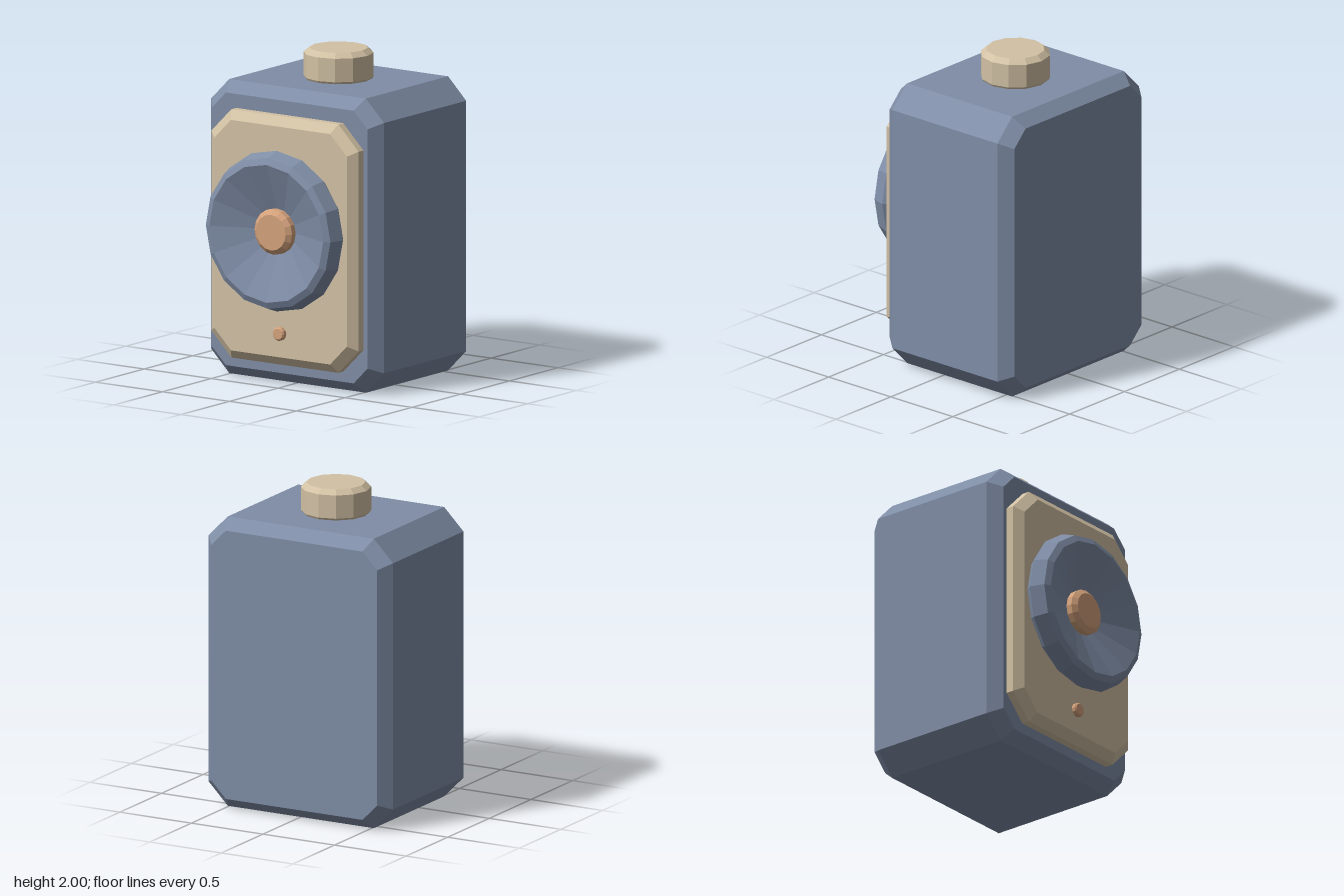
import * as THREE from 'three';

const slate = new THREE.MeshStandardMaterial({ color: 0x7f8da6 });
slate.name = 'slateBlue';
const cream = new THREE.MeshStandardMaterial({ color: 0xd2c1a4 });
cream.name = 'cream';
const copper = new THREE.MeshStandardMaterial({ color: 0xd4a27c });
copper.name = 'copper';

// Faceted normals baked into the geometry
function facet(geometry) {
  const flat = geometry.index ? geometry.toNonIndexed() : geometry;
  flat.computeVertexNormals();
  return flat;
}

function part(name, geometry, material, x = 0, y = 0, z = 0) {
  const mesh = new THREE.Mesh(facet(geometry), material);
  mesh.name = name;
  mesh.position.set(x, y, z);
  return mesh;
}

// Block with cut corners, lofted back to front; section = [halfWidth, halfHeight, cut, z]
function cutBlock(sections) {
  const pos = [], idx = [];
  for (const [w, h, c, z] of sections) {
    const ring = [[w, c - h], [w, h - c], [w - c, h], [c - w, h],
      [-w, h - c], [-w, c - h], [c - w, -h], [w - c, -h]];
    for (const [x, y] of ring) pos.push(x, y, z);
  }
  const last = (sections.length - 1) * 8;
  for (let s = 0; s < last; s += 8) {
    for (let i = 0; i < 8; i++) {
      const a = s + i, b = s + (i + 1) % 8;
      idx.push(a, b, b + 8, a, b + 8, a + 8);
    }
  }
  for (let i = 1; i < 7; i++) {
    idx.push(0, i + 1, i, last, last + i, last + i + 1);
  }
  const g = new THREE.BufferGeometry();
  g.setAttribute('position', new THREE.Float32BufferAttribute(pos, 3));
  g.setIndex(idx);
  return g;
}

// Turned shape; profile = [radius, height] pairs
function turned(profile, sides) {
  return new THREE.LatheGeometry(profile.map(([r, h]) => new THREE.Vector2(r, h)), sides);
}
const turnedForward = (profile, sides) => turned(profile, sides).rotateX(Math.PI / 2);

export function createModel() {
  const model = new THREE.Group();
  model.name = 'speaker';

  // Cabinet, bevelled front and back
  model.add(part('cabinet', cutBlock([
    [0.58, 0.84, 0.103, -0.625], [0.645, 0.906, 0.135, -0.545],
    [0.645, 0.906, 0.135, 0.3], [0.58, 0.84, 0.103, 0.38],
  ]), slate, 0, 0.906, 0));

  // Front panel
  model.add(part('frontPanel', cutBlock([
    [0.55, 0.765, 0.15, 0.37], [0.55, 0.765, 0.15, 0.43], [0.495, 0.71, 0.125, 0.475],
  ]), cream, 0, 0.895, 0));

  // Speaker ring with sunken cone, and its centre cap
  model.add(part('speakerCone', turnedForward([
    [0.46, 0.465], [0.495, 0.515], [0.465, 0.603], [0.425, 0.622], [0.11, 0.5],
  ], 16), slate, 0, 0.97, 0));
  model.add(part('centreCap', turnedForward([
    [0.14, 0.48], [0.14, 0.55], [0.11, 0.575], [0, 0.575],
  ], 16), copper, 0, 0.97, 0));

  // Indicator light
  model.add(part('indicatorLight', turnedForward([
    [0.043, 0.47], [0.043, 0.496], [0.034, 0.505], [0, 0.505],
  ], 12), copper, 0, 0.333, 0));

  // Knob on top
  model.add(part('topKnob', turned([
    [0, 1.805], [0.2, 1.805], [0.213, 1.825], [0.213, 1.97], [0.178, 2], [0, 2],
  ], 12), cream, 0, 0, -0.122));

  return model;
}
